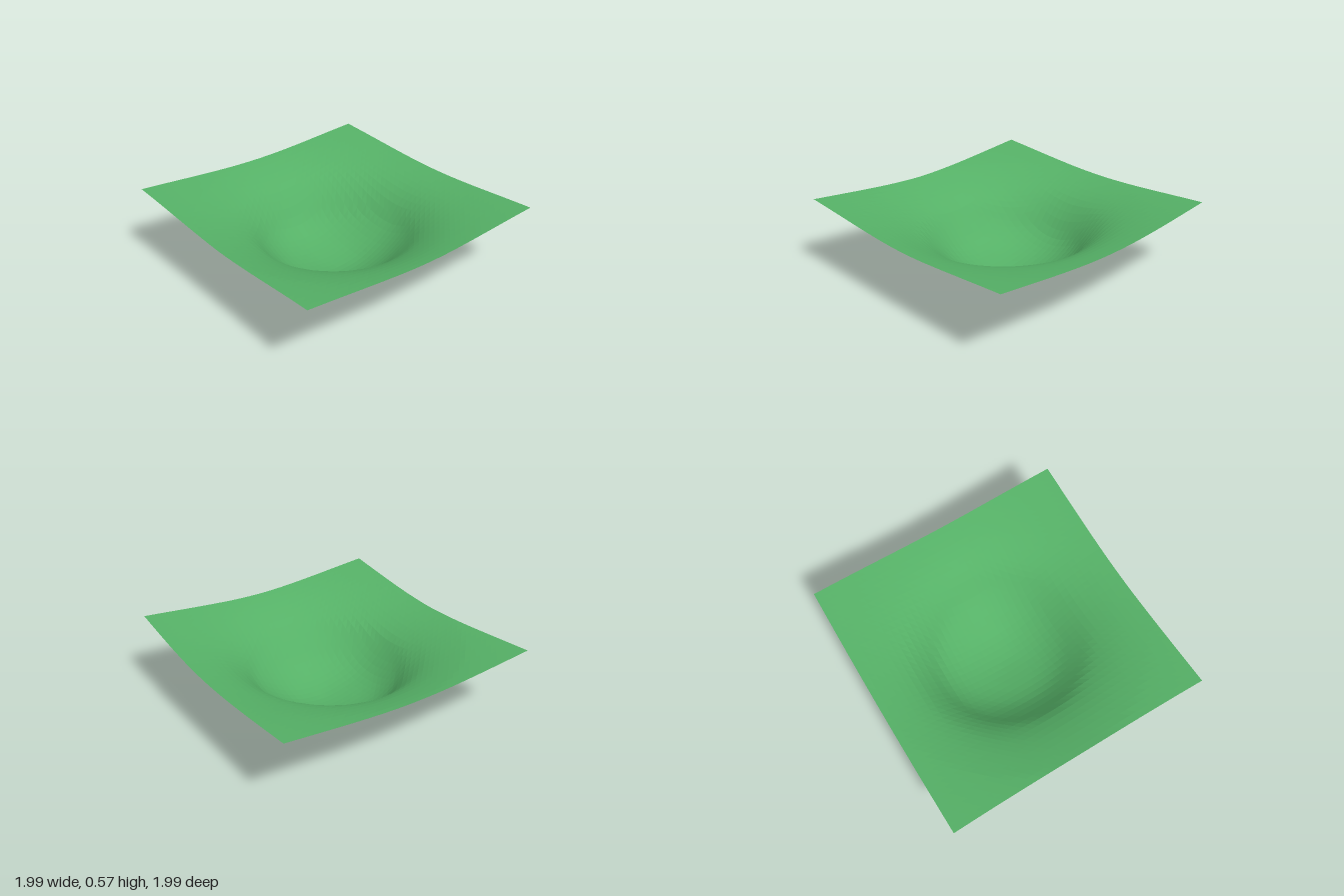
import * as THREE from 'three';

// Heights of the dip along each axis, sampled every 0.1 units out from its centre
const PROFILES = {
  right: [0, 0.012, 0.035, 0.068, 0.125, 0.22, 0.33, 0.393, 0.438, 0.474, 0.505],
  left: [0, 0.008, 0.03, 0.075, 0.135, 0.215, 0.33, 0.41, 0.458, 0.488, 0.511],
  front: [0, 0.012, 0.042, 0.092, 0.165, 0.26, 0.345, 0.405, 0.452, 0.486, 0.512],
  back: [0, 0.006, 0.022, 0.046, 0.085, 0.155, 0.28, 0.38, 0.437, 0.475, 0.505],
};
const CENTRE_Z = 0.03;

// Smooth height at radius r; beyond the samples the sheet flattens out as 1 / r
function heightAt(profile, r) {
  const last = profile.length - 1;
  if (r >= 1) return profile[last] + 0.217 * (1 - 1 / r);
  const i = Math.floor(r * last);
  const t = r * last - i;
  const p = (k) => (k > last ? 2 * profile[last] - profile[last - 1] : profile[Math.abs(k)]);
  const [a, b, c, d] = [p(i - 1), p(i), p(i + 1), p(i + 2)];
  return b + 0.5 * t * (c - a + t * (2 * a - 5 * b + 4 * c - d + t * (3 * (b - c) + d - a)));
}

// Blend the two neighbouring axis profiles by direction
function sheetHeight(x, z) {
  const dz = z - CENTRE_Z;
  const r = Math.hypot(x, dz);
  if (r < 1e-6) return 0;
  const wx = (x / r) ** 2;
  const side = heightAt(x > 0 ? PROFILES.left : PROFILES.right, r);
  const end = heightAt(dz > 0 ? PROFILES.front : PROFILES.back, r);
  return side * wx + end * (1 - wx);
}

export function createModel() {
  const group = new THREE.Group();
  group.name = 'dentedSheet';

  // Square sheet, faceted, sagging into a rounded bowl
  const geometry = new THREE.PlaneGeometry(2, 2, 40, 40).rotateX(-Math.PI / 2);
  const pos = geometry.attributes.position;
  for (let i = 0; i < pos.count; i++) {
    const u = pos.getX(i);
    const v = pos.getZ(i);
    // The edges bow slightly as the sheet is pulled off-centre
    const x = 0.9875 * u - 0.0125 + 0.018 * (1 - v * v);
    const z = 0.99 * v - 0.008 * (1 - u * u);
    pos.setXYZ(i, x, sheetHeight(x, z), z);
  }
  geometry.computeVertexNormals();

  const material = new THREE.MeshStandardMaterial({
    color: 0x55b066,
    flatShading: true,
    side: THREE.DoubleSide,
  });
  const sheet = new THREE.Mesh(geometry, material);
  sheet.name = 'sheet';
  group.add(sheet);
  return group;
}
